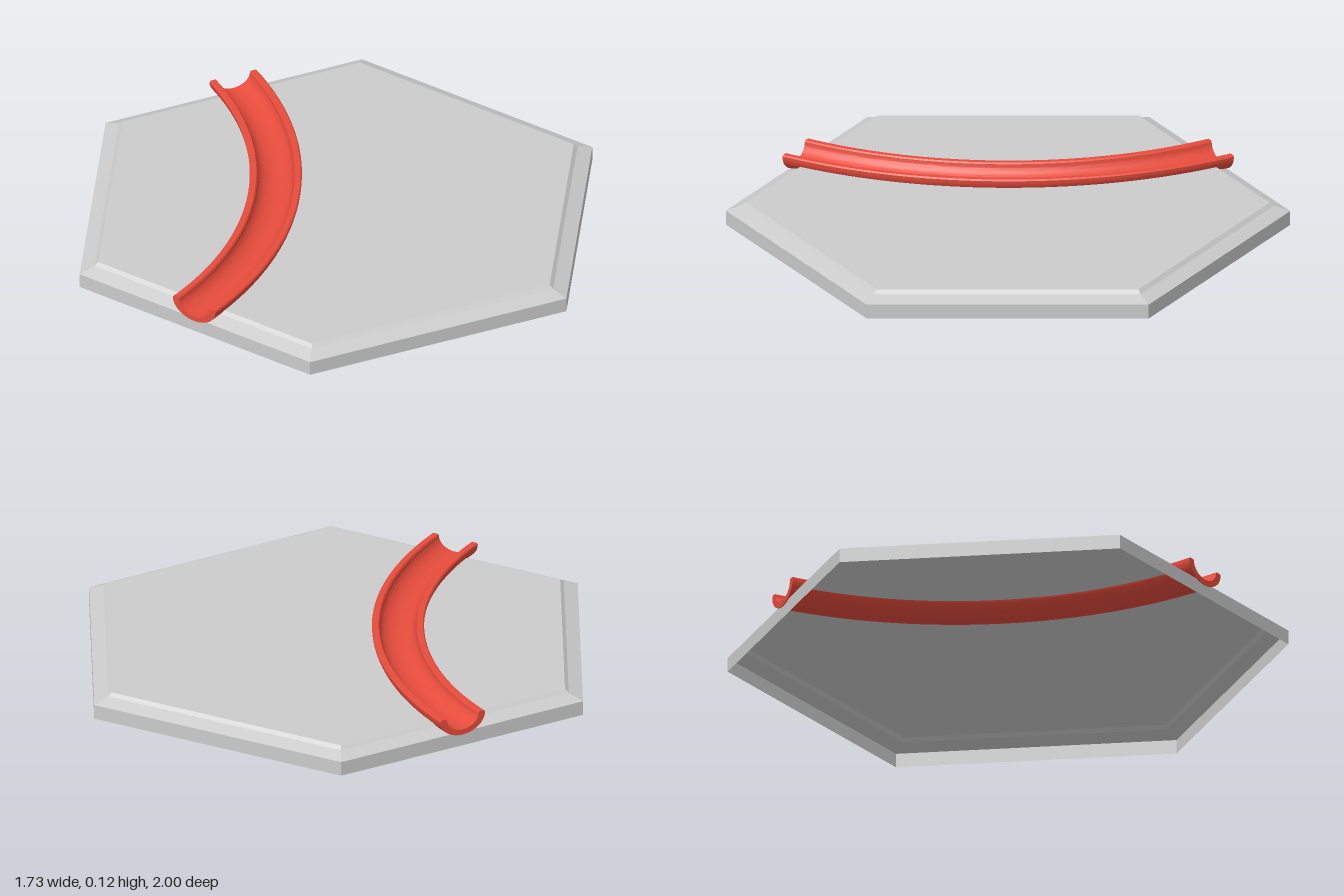
import * as THREE from 'three';
import { toCreasedNormals } from 'three/addons/utils/BufferGeometryUtils.js';

const C = Math.cos(Math.PI / 6);   // apothem of the unit hexagon
const RIM = 0.118;                 // height of the channel lips

// Point on the curved route: t runs -1 (back edge) to 1 (front edge), u is the sideways offset
function onRoute(t, u) {
  const R = 1.425, a = t * 0.557, b = t * Math.PI / 6;
  return [-0.22 - R + R * Math.cos(a) + u * Math.cos(b), R * Math.sin(a) + u * Math.sin(b)];
}

// Hexagon outline [x, z] on one side of the route, with a gap left for the channel
function outline(apothem, gap, side) {
  const r = apothem / C;
  const cut = (s) => [-0.5 * apothem + side * gap * C, s * (C * apothem + side * gap * 0.5)];
  const corners = side > 0
    ? [[0, r], [apothem, r / 2], [apothem, -r / 2], [0, -r]]
    : [[-apothem, -r / 2], [-apothem, r / 2]];
  return [cut(side), ...corners, cut(-side)];
}

// Wall and two-step bevel: [apothem, height, half gap for the channel]
const LEVELS = [
  [0.866, 0, 0], [0.866, 0.045, 0], [0.866, 0.053, 0.045],
  [0.816, 0.073, 0.062], [0.803, 0.085, 0.07],
];

function rimGeometry(side) {
  const pos = [];
  for (let l = 0; l < LEVELS.length - 1; l++) {
    const [lo, hi] = [LEVELS[l], LEVELS[l + 1]].map(([a, y, g]) =>
      outline(a, g, side).map(([x, z]) => [x, y, z]));
    for (let i = 0; i < lo.length - 1; i++) {
      pos.push(...lo[i], ...lo[i + 1], ...hi[i + 1], ...lo[i], ...hi[i + 1], ...hi[i]);
    }
  }
  const geo = new THREE.BufferGeometry();
  geo.setAttribute('position', new THREE.Float32BufferAttribute(pos, 3));
  geo.computeVertexNormals();
  return geo;
}

// Flat top, bounded by the hexagon and the curved channel
function plateGeometry(side) {
  const [a, y, gap] = LEVELS[LEVELS.length - 1];
  const pts = outline(a, gap, side);
  for (let i = 0; i <= 30; i++) pts.push(onRoute(side * (-0.9 + 1.8 * i / 30), side * gap));
  const geo = new THREE.ShapeGeometry(new THREE.Shape(pts.map(([x, z]) => new THREE.Vector2(x, -z))));
  return geo.rotateX(-Math.PI / 2).translate(0, y, 0);
}

// Half-pipe section, extruded straight and then bent along the route
function channelGeometry() {
  const s = new THREE.Shape();
  const y = RIM - 0.005;
  s.moveTo(-0.0925, y);
  s.absellipse(0, y, 0.0925, 0.069, Math.PI, Math.PI * 2, false);
  s.lineTo(0.088, RIM);
  s.lineTo(0.069, RIM);
  s.lineTo(0.065, y);
  s.absellipse(0, y, 0.065, 0.049, Math.PI * 2, Math.PI, true);
  s.lineTo(-0.069, RIM);
  s.lineTo(-0.088, RIM);
  s.closePath();
  const geo = new THREE.ExtrudeGeometry(s, { depth: 2, steps: 40, curveSegments: 20, bevelEnabled: false });
  const p = geo.attributes.position;
  for (let i = 0; i < p.count; i++) {
    const [x, z] = onRoute(p.getZ(i) - 1, p.getX(i));
    p.setXYZ(i, x, p.getY(i), z);
  }
  return toCreasedNormals(geo, 0.6);
}

export function createModel() {
  const model = new THREE.Group();
  model.name = 'hexTile';
  const grey = new THREE.MeshStandardMaterial({ color: 0xcccccc, side: THREE.DoubleSide });
  const red = new THREE.MeshStandardMaterial({ color: 0xe74c3c });
  const add = (name, geo, mat) => {
    const mesh = new THREE.Mesh(geo, mat);
    mesh.name = name;
    model.add(mesh);
  };

  // Hollow tile, open underneath, in two pieces either side of the channel
  for (const [name, side] of [['left', 1], ['right', -1]]) {
    add(name + 'Rim', rimGeometry(side), grey);
    add(name + 'Plate', plateGeometry(side), grey);
  }
  add('channel', channelGeometry(), red);
  return model;
}
